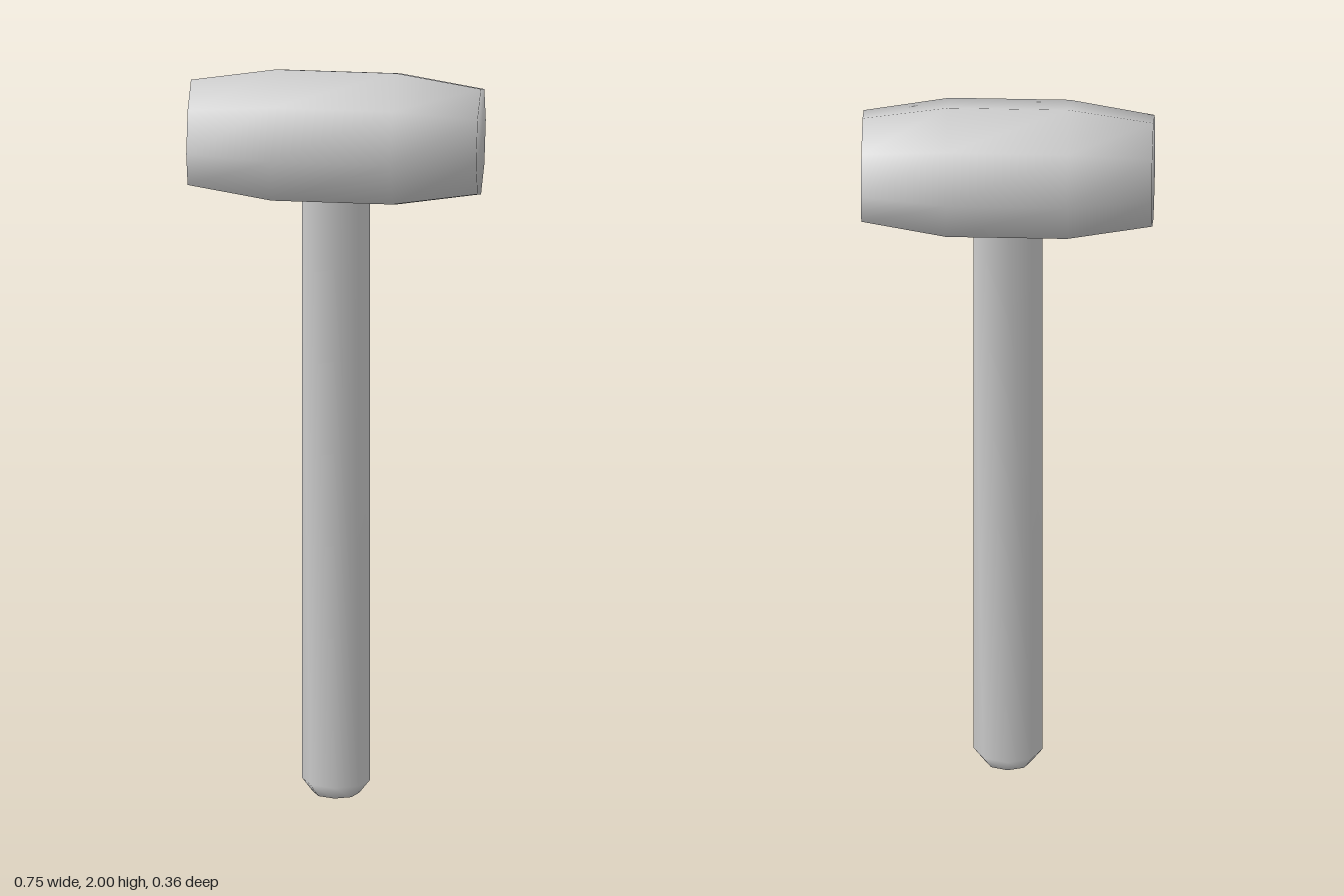
import * as THREE from 'three';
import { mergeVertices } from 'three/addons/utils/BufferGeometryUtils.js';

const SIDES = 8;
const material = new THREE.MeshStandardMaterial({ color: 0xcccccc });

// Eight-sided turned solid with soft normals running over its edges.
// profile: [radius, height] pairs from bottom to top
function turnedPart(name, profile) {
  const points = profile.map(([r, y]) => new THREE.Vector2(r, y));
  let geometry = new THREE.LatheGeometry(points, SIDES);
  geometry.deleteAttribute('normal');
  geometry.deleteAttribute('uv');
  geometry = mergeVertices(geometry, 1e-4);
  geometry.computeVertexNormals();
  const mesh = new THREE.Mesh(geometry, material);
  mesh.name = name;
  return mesh;
}

export function createModel() {
  const model = new THREE.Group();
  model.name = 'mallet';

  // Barrel-shaped head lying along x, tapered towards both faces
  const head = turnedPart('head', [
    [0, -0.373], [0.146, -0.373], [0.182, -0.155],
    [0.182, 0.155], [0.146, 0.373], [0, 0.373],
  ]);
  head.geometry.rotateZ(-Math.PI / 2);
  head.position.y = 1.818;
  model.add(head);

  // Oval handle with a bevelled foot, its top set into the head
  const handle = turnedPart('handle', [
    [0, 0], [0.06, 0], [0.088, 0.037], [0.088, 1.75], [0, 1.75],
  ]);
  handle.geometry.scale(1, 1, 0.75);
  model.add(handle);

  return model;
}
